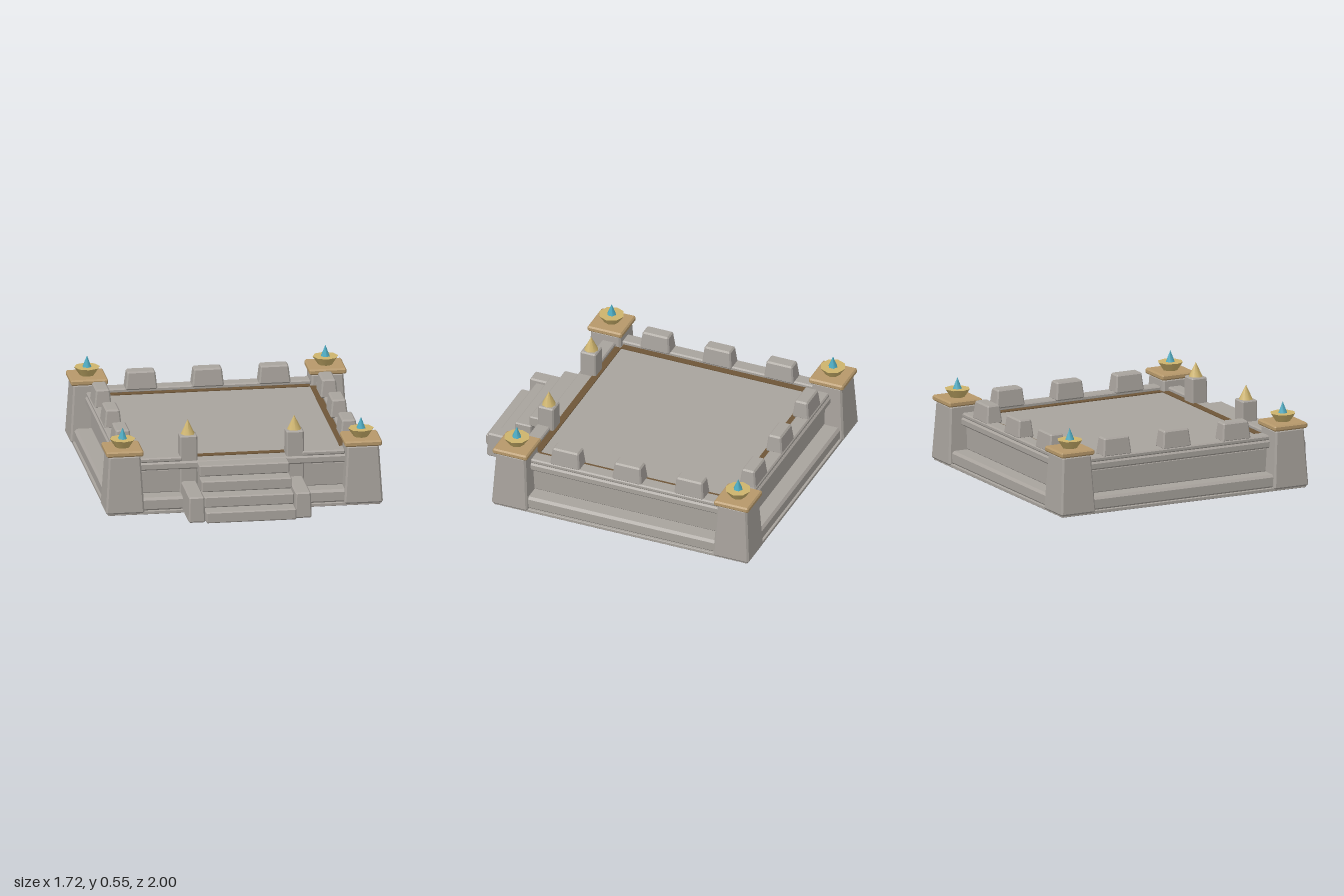
import * as THREE from 'three';
import { ConvexGeometry } from 'three/addons/geometries/ConvexGeometry.js';

const CZ = -0.142; // centre of the square platform

function material(name, color) {
  const m = new THREE.MeshStandardMaterial({ color });
  m.name = name;
  return m;
}

// Block with chamfered edges, from y = 0 to h, narrowing by `inset` on each side at the top
function block(w, h, d, c = 0.01, inset = 0) {
  const pts = [];
  for (const sx of [-1, 1]) for (const sy of [-1, 1]) for (const sz of [-1, 1]) {
    for (const [cx, cy, cz] of [[c, 0, c], [0, c, c], [c, c, 0]]) {
      const y = h / 2 + sy * (h / 2 - cy);
      const t = inset * (y / h);
      pts.push(new THREE.Vector3(sx * (w / 2 - cx - t), y, sz * (d / 2 - cz - t)));
    }
  }
  return new ConvexGeometry(pts);
}

// Smooth cone or bowl standing on y = 0
function cone(rTop, rBottom, h, sides) {
  return new THREE.CylinderGeometry(rTop, rBottom, h, sides).translate(0, h / 2, 0);
}

export function createModel() {
  const model = new THREE.Group();
  model.name = 'stonePlatform';

  const stone = material('stone grey', 0xa8a39d);
  const tan = material('tan capstone', 0xb6986a);
  const brown = material('brown trim', 0x6e5638);
  const gold = material('gold', 0xcdb36c);
  const gem = material('blue crystal', 0x4cacc3);

  function add(name, geometry, mat, x, y, z, parent = model) {
    const mesh = new THREE.Mesh(geometry, mat);
    mesh.name = name;
    mesh.position.set(x, y, z);
    parent.add(mesh);
    return mesh;
  }

  // Stacked layers: wide plinth, recessed body and slightly overhanging floor
  add('baseSlab', block(1.69, 0.02, 1.69, 0.002), stone, 0, 0, CZ);
  add('plinth', block(1.67, 0.085, 1.67, 0.015), stone, 0, 0.015, CZ);
  add('body', block(1.46, 0.16, 1.46, 0.012), stone, 0, 0.093, CZ);
  add('floorSlab', block(1.53, 0.05, 1.53, 0.01), stone, 0, 0.252, CZ);

  // Four sides: floor trim, low parapet and merlons; the front is open for the stairs
  const trimBar = new THREE.BoxGeometry(1.26, 0.006, 0.044);
  const coping = block(1.28, 0.03, 0.09, 0.008);
  const shortCoping = block(0.27, 0.03, 0.09, 0.008);
  const merlon = block(0.198, 0.115, 0.11, 0.009, 0.013);
  ['front', 'left', 'back', 'right'].forEach((side, i) => {
    const edge = new THREE.Group();
    edge.name = side + 'Edge';
    edge.position.z = CZ;
    edge.rotation.y = i * Math.PI / 2;
    model.add(edge);
    add('floorTrim', trimBar, brown, 0, 0.304, 0.649, edge);
    if (side === 'front') {
      for (const s of [-1, 1]) add('coping', shortCoping, stone, s * 0.505, 0.301, 0.713, edge);
    } else {
      add('coping', coping, stone, 0, 0.301, 0.713, edge);
      for (const x of [-0.413, 0, 0.413]) add('merlon', merlon, stone, x, 0.323, 0.701, edge);
    }
  });

  // Corner towers with capstone, bowl and crystal
  const shaft = block(0.24, 0.366, 0.24, 0.011, 0.022);
  const cap = block(0.23, 0.036, 0.23, 0.009);
  const bowl = cone(0.08, 0.045, 0.052, 8);
  const crystal = cone(0, 0.031, 0.075, 6);
  for (const sx of [-1, 1]) for (const sz of [-1, 1]) {
    const tower = new THREE.Group();
    tower.name = 'cornerTower';
    tower.position.set(sx * 0.739, 0, CZ + sz * 0.738);
    model.add(tower);
    add('towerShaft', shaft, stone, 0, 0.01, 0, tower);
    add('towerCap', cap, tan, 0, 0.374, 0, tower);
    add('bowl', bowl, gold, 0, 0.409, 0, tower);
    add('crystal', crystal, gem, 0, 0.457, 0, tower);
  }

  // Stairs
  const step = block(0.558, 0.07, 0.11, 0.007);
  for (let i = 0; i < 4; i++) {
    add('step', step, stone, 0, 0.018 + i * 0.0697, 0.945 - i * 0.0965);
  }

  // Stair side walls and gate posts with gold tips
  const sideWall = block(0.104, 0.163, 0.37, 0.009, 0.005);
  const post = block(0.113, 0.45, 0.11, 0.008, 0.003);
  const tip = cone(0, 0.045, 0.092, 8);
  for (const s of [-1, 1]) {
    add('stairSideWall', sideWall, stone, s * 0.33, 0.01, 0.767);
    add('gatePost', post, stone, s * 0.33, 0.012, 0.557);
    add('postTip', tip, gold, s * 0.33, 0.46, 0.557);
  }

  return model;
}
